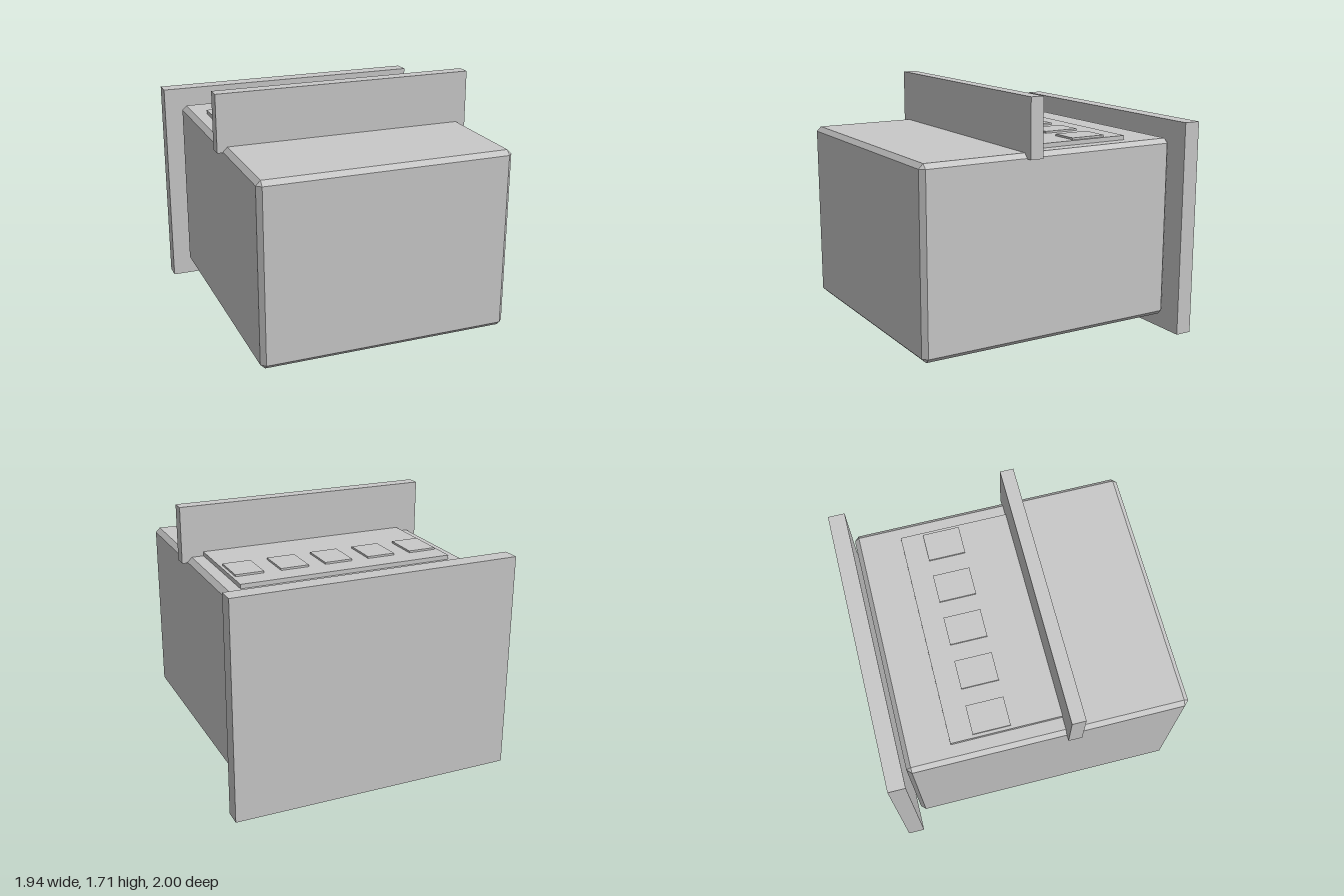
import * as THREE from 'three';
import { ConvexGeometry } from 'three/addons/geometries/ConvexGeometry.js';

const grey = new THREE.MeshStandardMaterial({ color: 0xc8c8c8 });
grey.name = 'light grey';

// Box given by its lower and upper limits on each axis
function box(name, [x0, x1], [y0, y1], [z0, z1]) {
  const mesh = new THREE.Mesh(new THREE.BoxGeometry(x1 - x0, y1 - y0, z1 - z0), grey);
  mesh.name = name;
  mesh.position.set((x0 + x1) / 2, (y0 + y1) / 2, (z0 + z1) / 2);
  return mesh;
}

// Box with all twelve edges cut at 45 degrees
function chamferedBox(name, [x0, x1], [y0, y1], [z0, z1], c) {
  const half = [(x1 - x0) / 2, (y1 - y0) / 2, (z1 - z0) / 2];
  const points = [];
  for (const sx of [-1, 1]) for (const sy of [-1, 1]) for (const sz of [-1, 1]) {
    for (let axis = 0; axis < 3; axis++) {
      const p = half.map((h, i) => (i === axis ? h : h - c));
      points.push(new THREE.Vector3(sx * p[0], sy * p[1], sz * p[2]));
    }
  }
  const mesh = new THREE.Mesh(new ConvexGeometry(points), grey);
  mesh.name = name;
  mesh.position.set((x0 + x1) / 2, (y0 + y1) / 2, (z0 + z1) / 2);
  return mesh;
}

export function createModel() {
  const model = new THREE.Group();
  model.name = 'model';

  // Main block and the panel standing behind it
  model.add(chamferedBox('body', [-0.853, 0.853], [0.12, 1.358], [-0.864, 1], 0.031));
  model.add(box('backPanel', [-0.97, 0.97], [0, 1.476], [-1, -0.886]));

  // Upright board across the top
  model.add(box('crossBoard', [-0.891, 0.891], [1.322, 1.711], [0.179, 0.27]));

  // Raised top plate with a row of five keys
  model.add(box('topPlate', [-0.74, 0.74], [1.34, 1.387], [-0.556, 0.2]));
  const keys = new THREE.Group();
  keys.name = 'keys';
  for (let i = -2; i <= 2; i++) {
    const x = i * 0.311;
    keys.add(box('key', [x - 0.097, x + 0.097], [1.38, 1.4], [-0.406, -0.157]));
  }
  model.add(keys);

  return model;
}
